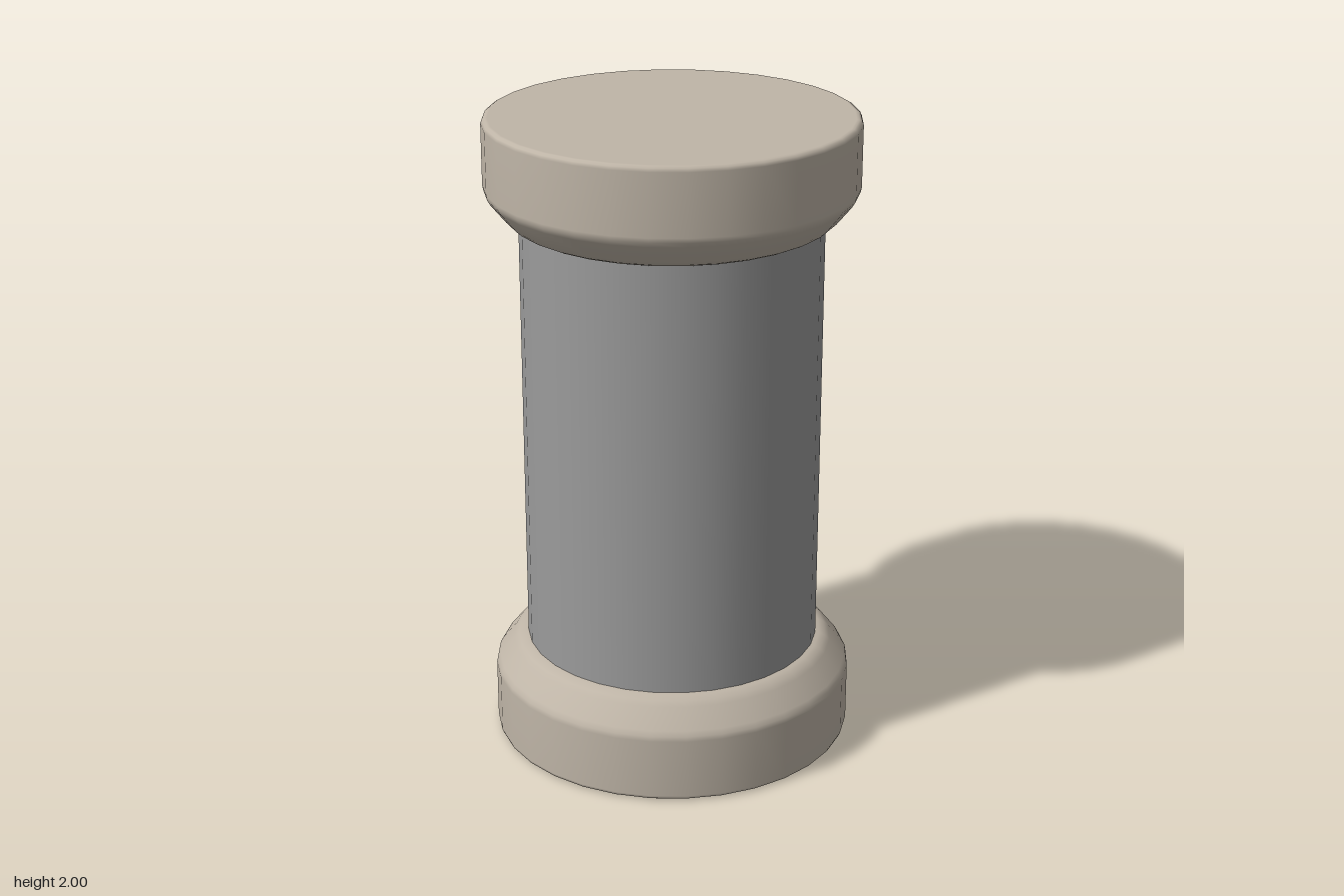
import * as THREE from 'three';

const SIDES = 32;

export function createModel() {
  const model = new THREE.Group();
  model.name = 'column';
  const stone = new THREE.MeshStandardMaterial({ name: 'warmStone', color: 0xbfb5a7 });
  const grey = new THREE.MeshStandardMaterial({ name: 'grey', color: 0x9b9b9b });

  // Half-profile of an end cap, from the outer flat face to the shaft
  const profile = [
    [0, 0], [0.545, 0], [0.553, 0.001], [0.561, 0.006], [0.565, 0.016],
    [0.565, 0.205], [0.562, 0.22], [0.553, 0.235], [0.507, 0.292],
    [0.492, 0.306], [0.474, 0.315], [0.45, 0.319], [0.43, 0.319],
  ];

  function addCap(name, flipped) {
    const points = profile.map(([r, y]) => new THREE.Vector2(r, flipped ? 2 - y : y));
    if (flipped) points.reverse();
    const cap = new THREE.Mesh(new THREE.LatheGeometry(points, SIDES), stone);
    cap.name = name;
    model.add(cap);
  }
  addCap('baseCap', false);
  addCap('topCap', true);

  // Plain round shaft between the caps
  const shaft = new THREE.Mesh(new THREE.CylinderGeometry(0.461, 0.461, 1.38, SIDES, 1, true), grey);
  shaft.name = 'shaft';
  shaft.position.y = 1;
  model.add(shaft);

  return model;
}
